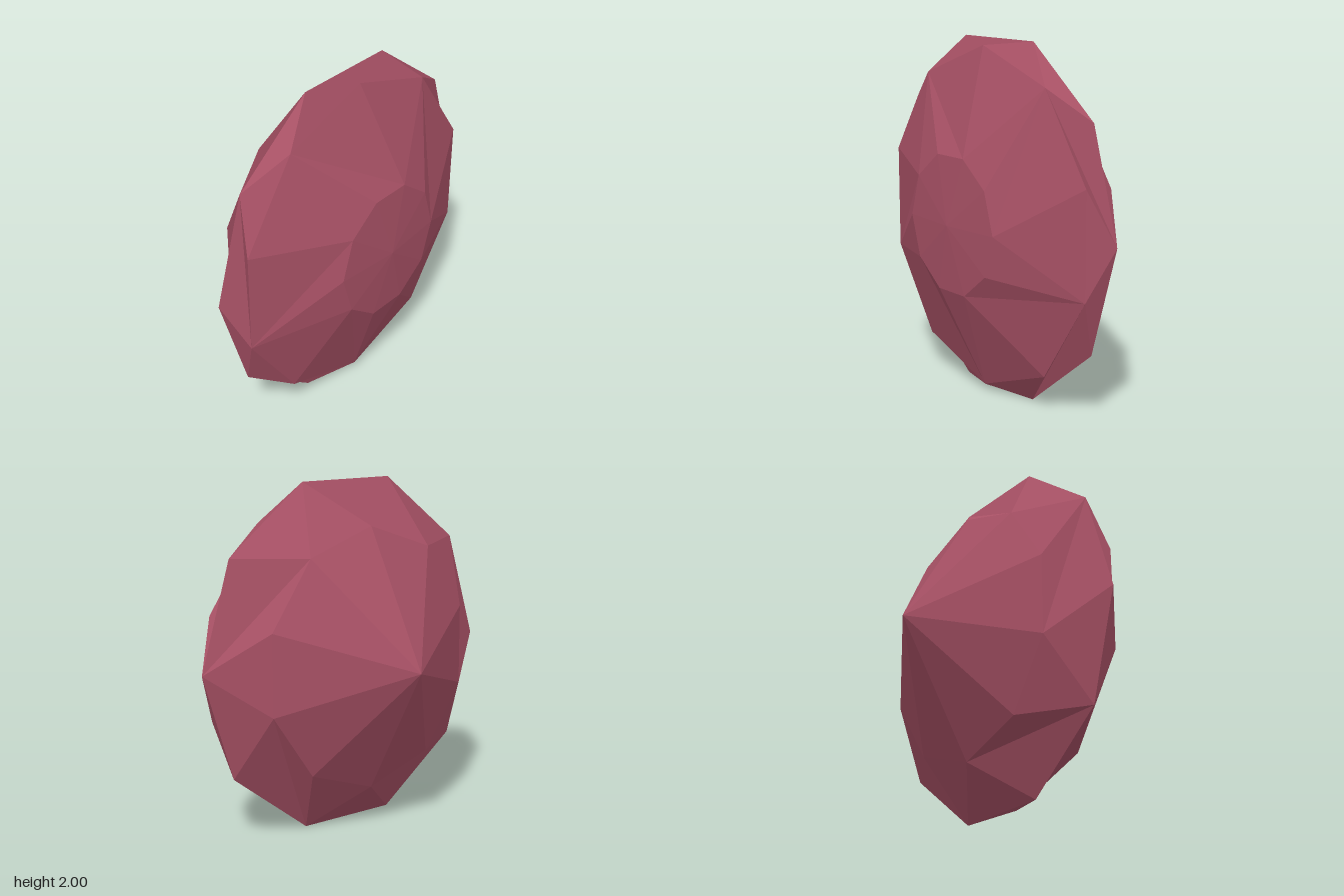
import * as THREE from 'three';

const SIDES = 10;

// Elliptical ring of points facing +z; half = true turns it by half a step
function ring(rx, ry, z, half) {
  return Array.from({ length: SIDES }, (_, i) => {
    const a = ((i + (half ? 0.5 : 0)) / SIDES) * Math.PI * 2;
    return new THREE.Vector3(rx * Math.cos(a), 1 + ry * Math.sin(a), z);
  });
}

// Facets between a straight ring and a half-step ring; the diagonal alternates
function band(straight, half, flip) {
  const tris = [];
  for (let j = 0; j < SIDES; j++) {
    const k = (j + 1) % SIDES;
    const [a, b, c, d] = [straight[j], straight[k], half[j], half[k]];
    if (j % 2 === 0) tris.push([a, b, d], [a, d, c]);
    else tris.push([a, b, c], [b, d, c]);
  }
  return flip ? tris.map(([a, b, c]) => [a, c, b]) : tris;
}

// Facets from a ring to one point
function fan(points, tip, flip) {
  return points.map((p, j) => {
    const q = points[(j + 1) % SIDES];
    return flip ? [tip, q, p] : [tip, p, q];
  });
}

function facetMesh(name, tris, material) {
  const geometry = new THREE.BufferGeometry().setFromPoints(tris.flat());
  geometry.computeVertexNormals();
  const mesh = new THREE.Mesh(geometry, material);
  mesh.name = name;
  return mesh;
}

export function createModel() {
  const group = new THREE.Group();
  group.name = 'gemstone';
  const gem = new THREE.MeshStandardMaterial({ color: 0xa65064 });
  gem.name = 'rose red';
  gem.flatShading = true;

  const table = ring(0.372, 0.4, 0.49, false);
  const crown = ring(0.89, 0.967, 0.26, true);
  const girdle = ring(0.966, 1.0515, 0.153, false);
  const pavilion = ring(0.7, 0.757, -0.08, true);

  group.add(
    // shallow front face
    facetMesh('table', fan(table, new THREE.Vector3(0, 1, 0.52), false), gem),
    // sloping front facets
    facetMesh('crown', band(table, crown, true), gem),
    // narrow facets around the rim
    facetMesh('girdle', band(girdle, crown, false), gem),
    // rear facets and the point
    facetMesh('upperPavilion', band(girdle, pavilion, true), gem),
    facetMesh('pavilionPoint', fan(pavilion, new THREE.Vector3(0, 1, -0.52), true), gem),
  );
  return group;
}
